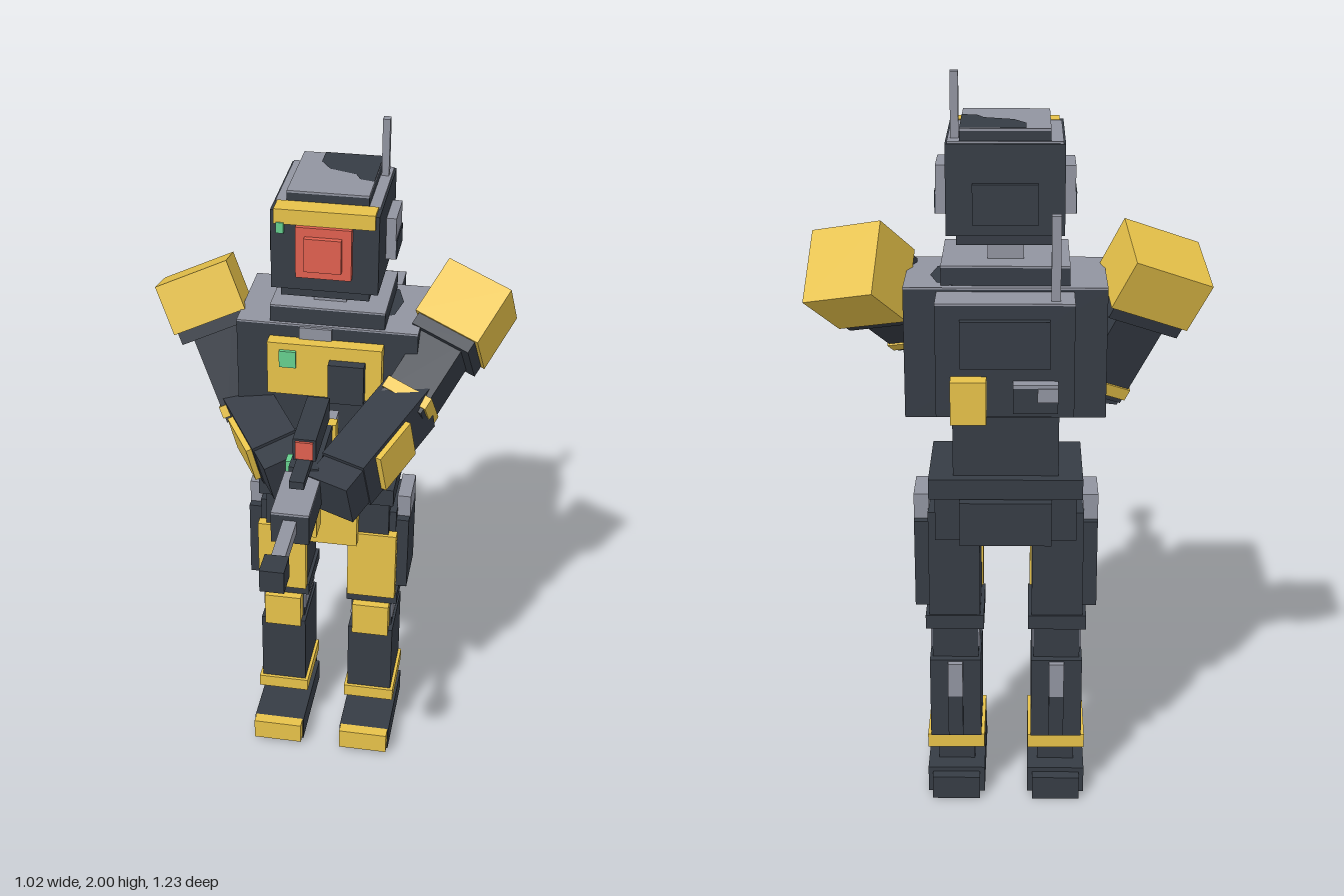
import * as THREE from 'three';

const mat = (name, color) => {
  const m = new THREE.MeshStandardMaterial({ color });
  m.name = name;
  return m;
};

export function createModel() {
  const root = new THREE.Group();
  root.name = 'armouredTrooper';
  const dark = mat('charcoal', 0x363c45);
  const gray = mat('gray', 0x9194a0);
  const yellow = mat('yellow', 0xe8c34a);
  const red = mat('red', 0xe0604f);
  const green = mat('green', 0x66cf8e);

  const group = (name, x = 0) => {
    const g = new THREE.Group();
    g.name = name;
    g.position.x = x;
    root.add(g);
    return g;
  };
  // Box given by its extents on each axis
  const box = (parent, name, m, x0, x1, y0, y1, z0, z1) => {
    const mesh = new THREE.Mesh(new THREE.BoxGeometry(x1 - x0, y1 - y0, z1 - z0), m);
    mesh.position.set((x0 + x1) / 2, (y0 + y1) / 2, (z0 + z1) / 2);
    mesh.name = name;
    parent.add(mesh);
  };
  // Box between two distances from the centre plane, on side s
  const sideBox = (parent, s, name, m, inner, outer, ...r) =>
    box(parent, name, m, ...[s * inner, s * outer].sort((a, b) => a - b), ...r);
  // Flat camouflage patch lying on a top face, outlined by [x, z] points
  const patch = (parent, name, m, y, pts) => {
    const shape = new THREE.Shape(pts.map(([x, z]) => new THREE.Vector2(x, -z)));
    const mesh = new THREE.Mesh(new THREE.ShapeGeometry(shape).rotateX(-Math.PI / 2), m);
    mesh.position.y = y;
    mesh.name = name;
    parent.add(mesh);
  };

  // Head
  const head = group('head', 0.005);
  box(head, 'helmet', dark, -0.145, 0.145, 1.61, 1.835, -0.465, -0.14);
  box(head, 'jaw', dark, -0.12, 0.12, 1.585, 1.61, -0.455, -0.15);
  box(head, 'helmetTopCoat', gray, -0.14, 0.14, 1.835, 1.84, -0.46, -0.19);
  box(head, 'crown', dark, -0.11, 0.11, 1.84, 1.864, -0.455, -0.19);
  box(head, 'crownCoat', gray, -0.11, 0.11, 1.864, 1.87, -0.455, -0.19);
  patch(head, 'crownPatch', dark, 1.872, [[-0.05, -0.455], [0.11, -0.455], [0.11, -0.28],
    [0.07, -0.29], [0.055, -0.32], [-0.02, -0.345], [-0.05, -0.39]]);
  box(head, 'brow', yellow, -0.135, 0.135, 1.8, 1.842, -0.19, -0.132);
  box(head, 'visorFrame', red, -0.075, 0.075, 1.655, 1.8, -0.14, -0.12);
  box(head, 'visorLens', red, -0.05, 0.05, 1.68, 1.775, -0.12, -0.105);
  box(head, 'statusLight', green, -0.128, -0.108, 1.775, 1.805, -0.14, -0.128);
  box(head, 'rearPanel', dark, -0.08, 0.08, 1.64, 1.74, -0.482, -0.465);
  for (const s of [-1, 1]) {
    sideBox(head, s, 'earPiece', gray, 0.145, 0.172, 1.65, 1.77, -0.4, -0.28);
    sideBox(head, s, 'earPatch', dark, 0.172, 0.175, 1.65, 1.705, -0.4, -0.28);
  }
  box(head, 'headAntenna', gray, 0.113, 0.133, 1.84, 2.0, -0.42, -0.397);

  // Torso
  const torso = group('torso', 0.005);
  box(torso, 'neck', gray, -0.045, 0.045, 1.52, 1.6, -0.38, -0.24);
  box(torso, 'collar', dark, -0.16, 0.16, 1.475, 1.525, -0.45, -0.19);
  box(torso, 'collarCoat', gray, -0.16, 0.16, 1.525, 1.53, -0.45, -0.19);
  box(torso, 'chest', dark, -0.253, 0.253, 1.14, 1.475, -0.468, -0.18);
  box(torso, 'chestTopCoat', gray, -0.253, 0.253, 1.475, 1.48, -0.468, -0.18);
  patch(torso, 'chestTopPatch', dark, 1.482, [[0.13, -0.46], [0.17, -0.43], [0.19, -0.36],
    [0.175, -0.28], [0.13, -0.25]]);
  box(torso, 'chestPlate', yellow, -0.16, 0.16, 1.28, 1.44, -0.18, -0.14);
  box(torso, 'chestCollarPatch', gray, -0.075, 0.015, 1.44, 1.475, -0.18, -0.172);
  box(torso, 'chestPouch', dark, 0.015, 0.115, 1.28, 1.4, -0.14, -0.11);
  box(torso, 'chestLight', green, -0.125, -0.078, 1.37, 1.42, -0.14, -0.13);
  box(torso, 'waist', dark, -0.137, 0.137, 0.95, 1.14, -0.42, -0.23);
  box(torso, 'waistPanel', dark, 0.035, 0.11, 1.03, 1.06, -0.23, -0.215);

  // Backpack
  const pack = group('backpack', 0.005);
  box(pack, 'packBody', dark, -0.17, 0.17, 1.18, 1.465, -0.57, -0.468);
  box(pack, 'packTopCoat', gray, -0.17, 0.17, 1.465, 1.47, -0.57, -0.468);
  box(pack, 'packPanel', dark, -0.11, 0.11, 1.31, 1.43, -0.59, -0.57);
  box(pack, 'packYellowPouch', yellow, 0.045, 0.133, 1.175, 1.285, -0.615, -0.57);
  box(pack, 'packGrayPouch', dark, -0.13, -0.02, 1.2, 1.265, -0.6, -0.57);
  box(pack, 'packPouchFlap', gray, -0.13, -0.02, 1.265, 1.274, -0.6, -0.57);
  box(pack, 'packPouchPatch', gray, -0.13, -0.08, 1.23, 1.265, -0.603, -0.6);
  box(pack, 'packAntenna', gray, -0.135, -0.112, 1.46, 1.68, -0.547, -0.524);

  // Hips
  const hips = group('hips', 0.005);
  box(hips, 'belt', dark, -0.2, 0.2, 0.905, 0.96, -0.45, -0.18);
  box(hips, 'buckle', gray, -0.042, 0.042, 0.905, 0.96, -0.18, -0.168);
  box(hips, 'pelvis', dark, -0.185, 0.185, 0.78, 0.905, -0.43, -0.21);
  box(hips, 'groinPlate', yellow, -0.095, 0.095, 0.755, 0.9, -0.21, -0.17);
  box(hips, 'rearPouch', dark, -0.12, 0.12, 0.78, 0.9, -0.465, -0.43);

  // Legs, built about their own centre line
  for (const s of [-1, 1]) {
    const leg = group(s > 0 ? 'leftLeg' : 'rightLeg', 0.005 + s * 0.137);
    box(leg, 'thigh', dark, -0.068, 0.068, 0.53, 0.85, -0.41, -0.23);
    box(leg, 'thighPlate', yellow, -0.073, 0.073, 0.55, 0.78, -0.23, -0.2);
    box(leg, 'thighBand', dark, -0.078, 0.078, 0.51, 0.55, -0.415, -0.225);
    box(leg, 'knee', dark, -0.062, 0.062, 0.41, 0.51, -0.395, -0.24);
    for (const k of [-1, 1])
      sideBox(leg, k, 'kneePatch', gray, 0.062, 0.066, 0.445, 0.51, -0.395, -0.24);
    box(leg, 'kneePad', yellow, -0.056, 0.056, 0.4, 0.51, -0.24, -0.2);
    box(leg, 'shin', dark, -0.069, 0.069, 0.18, 0.415, -0.415, -0.21);
    box(leg, 'calfStrut', gray, -0.02, 0.02, 0.31, 0.41, -0.43, -0.415);
    box(leg, 'calfPlate', dark, -0.02, 0.02, 0.19, 0.31, -0.43, -0.415);
    box(leg, 'ankleBand', yellow, -0.078, 0.078, 0.14, 0.18, -0.41, -0.2);
    box(leg, 'ankle', dark, -0.05, 0.05, 0.08, 0.14, -0.37, -0.275);
    if (s < 0) box(leg, 'anklePatch', gray, -0.03, 0.05, 0.08, 0.125, -0.275, -0.272);
    box(leg, 'boot', dark, -0.078, 0.078, 0.005, 0.08, -0.42, -0.12);
    box(leg, 'heel', dark, -0.065, 0.065, 0, 0.067, -0.45, -0.42);
    box(leg, 'toeCap', yellow, -0.075, 0.075, 0.015, 0.082, -0.125, -0.09);
    // Holster on the outer side of the thigh
    sideBox(leg, s, 'holster', dark, 0.066, 0.105, 0.575, 0.82, -0.4, -0.235);
    sideBox(leg, s, 'holsterCap', gray, 0.066, 0.106, 0.81, 0.89, -0.38, -0.26);
  }

  // Limb frame: origin at a, +y running toward b, +x near the outward hint
  const limb = (parent, name, a, b, hint) => {
    const g = new THREE.Group();
    g.name = name;
    const A = new THREE.Vector3(...a);
    const y = new THREE.Vector3(...b).sub(A);
    g.userData.length = y.length();
    y.normalize();
    const x = new THREE.Vector3(...hint);
    x.addScaledVector(y, -x.dot(y)).normalize();
    g.quaternion.setFromRotationMatrix(
      new THREE.Matrix4().makeBasis(x, y, new THREE.Vector3().crossVectors(x, y)));
    g.position.copy(A);
    parent.add(g);
    return g;
  };

  // Arms: shoulder, elbow, hand, outward direction of each segment, half sizes of the pad
  const arms = [
    { name: 'leftArm', S: [0.376, 1.472, -0.337], E: [0.243, 1.285, -0.13], H: [0.09, 1.185, 0.19],
      up: [0.18, -0.04, 0.07], out: [0.9, 0, 0.43], pad: [0.1, 0.088, 0.1] },
    { name: 'rightArm', S: [-0.374, 1.475, -0.328], E: [-0.235, 1.175, -0.24], H: [-0.07, 1.13, 0.02],
      up: [-0.217, -0.127, 0.07], out: [-0.8, -0.3, 0.6], pad: [0.107, 0.072, 0.1] },
  ];
  for (const { name, S, E, H, up, out, pad: [px, py, pz] } of arms) {
    const arm = group(name);
    const upper = limb(arm, name + 'Upper', S, E, up);
    const L = upper.userData.length;
    box(upper, 'shoulderPad', yellow, -px, px, -py, py, -pz, pz);
    box(upper, 'shoulderRim', dark, -px + 0.01, px - 0.01, py, py + 0.035, -pz + 0.008, pz - 0.008);
    box(upper, 'upperArm', dark, -0.065, 0.065, py, L + 0.02, -0.07, 0.07);
    box(upper, 'elbowBand', yellow, -0.07, 0.07, L - 0.03, L + 0.005, -0.075, 0.075);
    const lower = limb(arm, name + 'Lower', E, H, out);
    const F = lower.userData.length;
    box(lower, 'forearm', dark, -0.066, 0.066, -0.02, F - 0.06, -0.072, 0.072);
    box(lower, 'forearmPlate', yellow, 0.066, 0.082, F * 0.28, F * 0.28 + 0.15, -0.06, 0.06);
    box(lower, 'hand', dark, -0.063, 0.063, F - 0.06, F + 0.02, -0.062, 0.062);
  }

  // Rifle held across the front
  const rifle = group('rifle', 0.005);
  box(rifle, 'muzzle', dark, -0.031, 0.031, 1.167, 1.23, 0.545, 0.615);
  box(rifle, 'barrel', gray, -0.018, 0.018, 1.18, 1.216, 0.37, 0.55);
  box(rifle, 'handguard', dark, -0.05, 0.05, 1.145, 1.23, 0.18, 0.375);
  box(rifle, 'handguardCoat', gray, -0.05, 0.05, 1.23, 1.236, 0.18, 0.375);
  box(rifle, 'foregrip', gray, -0.025, 0.025, 1.122, 1.145, 0.215, 0.34);
  box(rifle, 'receiver', dark, -0.04, 0.04, 1.13, 1.25, -0.06, 0.18);
  box(rifle, 'sightRail', dark, -0.02, 0.02, 1.25, 1.272, 0.0, 0.28);
  box(rifle, 'scope', dark, -0.031, 0.031, 1.265, 1.33, -0.055, 0.165);
  box(rifle, 'scopeLens', red, -0.024, 0.024, 1.272, 1.324, 0.165, 0.172);
  box(rifle, 'magazine', yellow, -0.03, 0.03, 1.005, 1.14, 0.075, 0.148);
  box(rifle, 'stockBand', yellow, -0.05, 0.05, 1.13, 1.25, -0.08, -0.045);
  box(rifle, 'stock', gray, -0.043, 0.043, 1.13, 1.24, -0.14, -0.08);
  box(rifle, 'rifleLight', green, -0.058, -0.038, 1.195, 1.235, 0.095, 0.132);

  return root;
}
